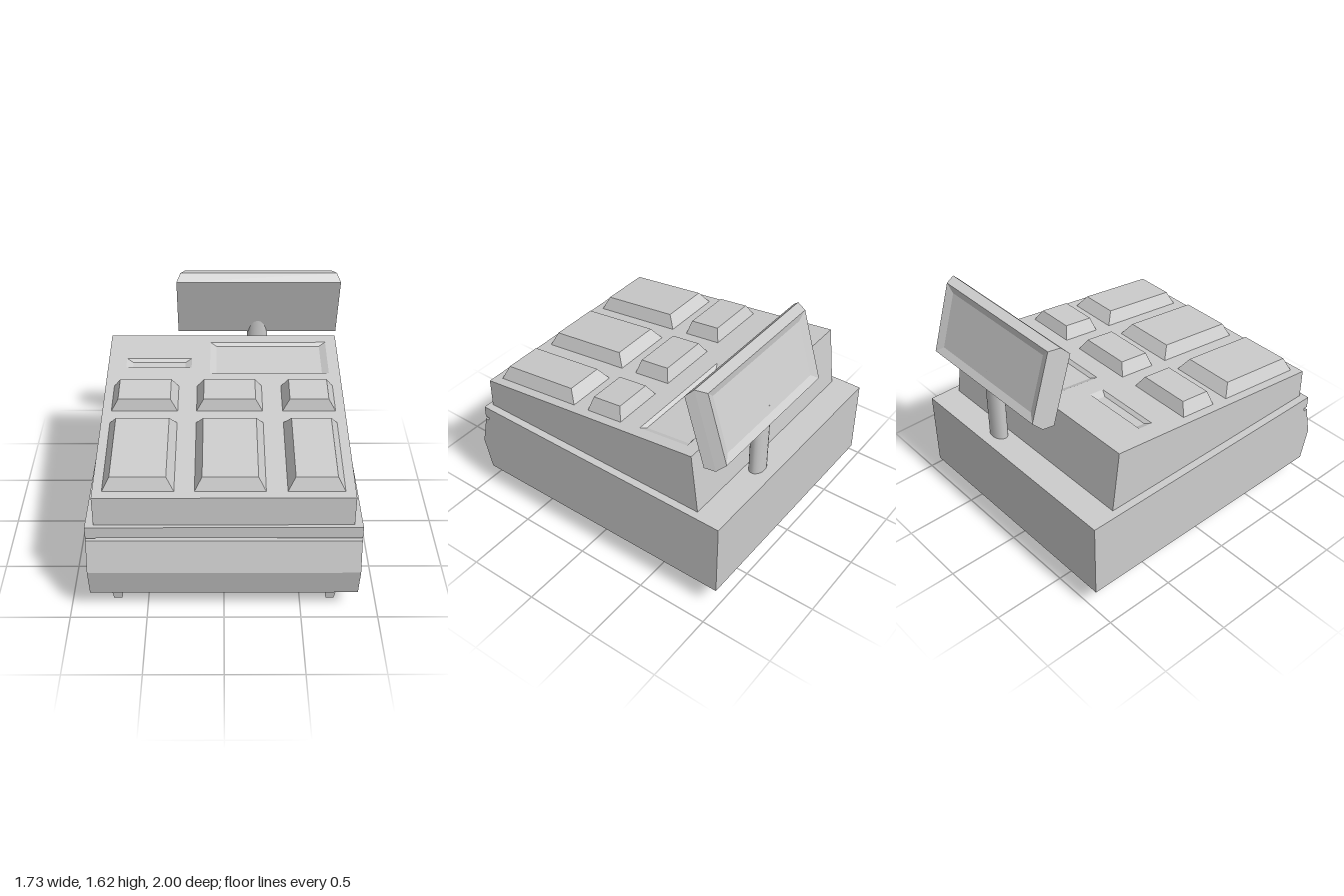
import * as THREE from 'three';

const grey = new THREE.MeshStandardMaterial({ color: 0xcccccc, flatShading: true });
const smooth = new THREE.MeshStandardMaterial({ color: 0xcccccc });

function add(parent, name, geometry, material = grey) {
  const mesh = new THREE.Mesh(geometry, material);
  mesh.name = name;
  parent.add(mesh);
  return mesh;
}

// Joins rings of corners (anticlockwise seen from the last ring's side) with flat faces
function loft(rings, capStart, capEnd) {
  const pos = [];
  const tri = (a, b, c) => pos.push(...a, ...b, ...c);
  for (let k = 0; k < rings.length - 1; k++) {
    const r0 = rings[k], r1 = rings[k + 1], n = r0.length;
    for (let i = 0; i < n; i++) {
      const j = (i + 1) % n;
      tri(r0[i], r0[j], r1[j]);
      tri(r0[i], r1[j], r1[i]);
    }
  }
  const cap = (r) => { for (let i = 1; i < r.length - 1; i++) tri(r[0], r[i], r[i + 1]); };
  if (capStart) cap([...rings[0]].reverse());
  if (capEnd) cap(rings[rings.length - 1]);
  const g = new THREE.BufferGeometry();
  g.setAttribute('position', new THREE.Float32BufferAttribute(pos, 3));
  g.computeVertexNormals();
  return g;
}

// Height of the sloping console top, and a rectangle lying h above it
const slopeY = (z) => 0.91 + 0.1284 * (0.92 - z);
const slopeRing = (x0, x1, z0, z1, h) =>
  [[x0, z1], [x1, z1], [x1, z0], [x0, z0]].map(([x, z]) => [x, slopeY(z) + h, z]);

export function createModel() {
  const model = new THREE.Group();
  model.name = 'cashRegister';

  // Drawer base: side profile (z, y) with pointed front and groove
  const profile = [[-1, 0.165], [0.945, 0.165], [1, 0.38], [0.95, 0.598], [0.92, 0.598],
    [0.92, 0.62], [0.948, 0.62], [0.948, 0.703], [-1, 0.703]];
  const base = new THREE.ExtrudeGeometry(
    new THREE.Shape(profile.map(([z, y]) => new THREE.Vector2(z, y))),
    { depth: 1.73, bevelEnabled: false });
  base.translate(0, 0, -0.865).rotateY(-Math.PI / 2);
  add(model, 'drawerBase', base);

  // Tapered square feet
  const s = Math.SQRT2;
  for (const x of [-0.702, 0.702]) for (const z of [0.788, -0.837]) {
    const foot = new THREE.CylinderGeometry(0.0525 * s, 0.027 * s, 0.168, 4);
    foot.rotateY(Math.PI / 4);
    add(model, 'foot', foot).position.set(x, 0.084, z);
  }

  // Sloping console walls
  const W = 0.812;
  const bottom = [[-W, 0.7, 0.92], [W, 0.7, 0.92], [W, 0.7, -0.81], [-W, 0.7, -0.81]];
  add(model, 'consoleWalls', loft([bottom, slopeRing(-W, W, -0.755, 0.92, 0)], false, false));

  // Console top with two shallow recesses
  const recesses = [
    { name: 'slotRecess', x0: -0.685, x1: -0.225, z0: -0.48, z1: -0.375 },
    { name: 'displayRecess', x0: -0.095, x1: 0.735, z0: -0.67, z1: -0.31 },
  ];
  const rect = (P, x0, x1, z0, z1) => new P(
    [[x0, -z1], [x1, -z1], [x1, -z0], [x0, -z0]].map(([x, y]) => new THREE.Vector2(x, y)));
  const topShape = rect(THREE.Shape, -W, W, -0.755, 0.92);
  for (const r of recesses) {
    topShape.holes.push(rect(THREE.Path, r.x0, r.x1, r.z0, r.z1));
    add(model, r.name, loft([
      slopeRing(r.x0, r.x1, r.z0, r.z1, 0),
      slopeRing(r.x0 + 0.045, r.x1 - 0.045, r.z0 + 0.018, r.z1 - 0.022, -0.022),
    ], false, true));
  }
  const top = new THREE.ShapeGeometry(topShape).rotateX(-Math.PI / 2);
  const p = top.attributes.position;
  for (let i = 0; i < p.count; i++) p.setY(i, slopeY(p.getZ(i)));
  top.computeVertexNormals();
  add(model, 'consoleTop', top);

  // Key blocks: three columns by two rows
  const columns = [[-0.752, -0.308], [-0.182, 0.26], [0.393, 0.748]];
  const rows = [[0.217, 0.862, 0.278, 0.83], [-0.167, 0.1, -0.128, 0.085]];
  for (const [x0, x1] of columns) for (const [z0, z1, t0, t1] of rows) {
    add(model, 'keyBlock', loft([
      slopeRing(x0, x1, z0, z1, 0),
      slopeRing(x0 + 0.048, x1 - 0.048, t0, t1, 0.083),
    ], false, true));
  }

  // Oval pole carrying the customer screen
  const pole = add(model, 'screenPole', new THREE.CylinderGeometry(1, 1, 0.53, 20), smooth);
  pole.scale.set(0.074, 1, 0.052);
  pole.position.set(0.25, 0.965, -0.878);

  // Leaning screen, lofted from front to back and ending in a recessed panel
  const ring = (w, y0, y1, z) => [[w, y0, z], [-w, y0, z], [-w, y1, z], [w, y1, z]];
  const screen = add(model, 'customerScreen', loft([
    ring(0.58, 0, 0.487, 0),
    ring(0.553, -0.032, 0.52, -0.06),
    ring(0.52, 0, 0.487, -0.125),
    ring(0.465, 0.05, 0.437, -0.105),
  ], true, true));
  screen.position.set(0.2475, 1.105, -0.858);
  screen.rotation.x = 0.302;

  return model;
}
